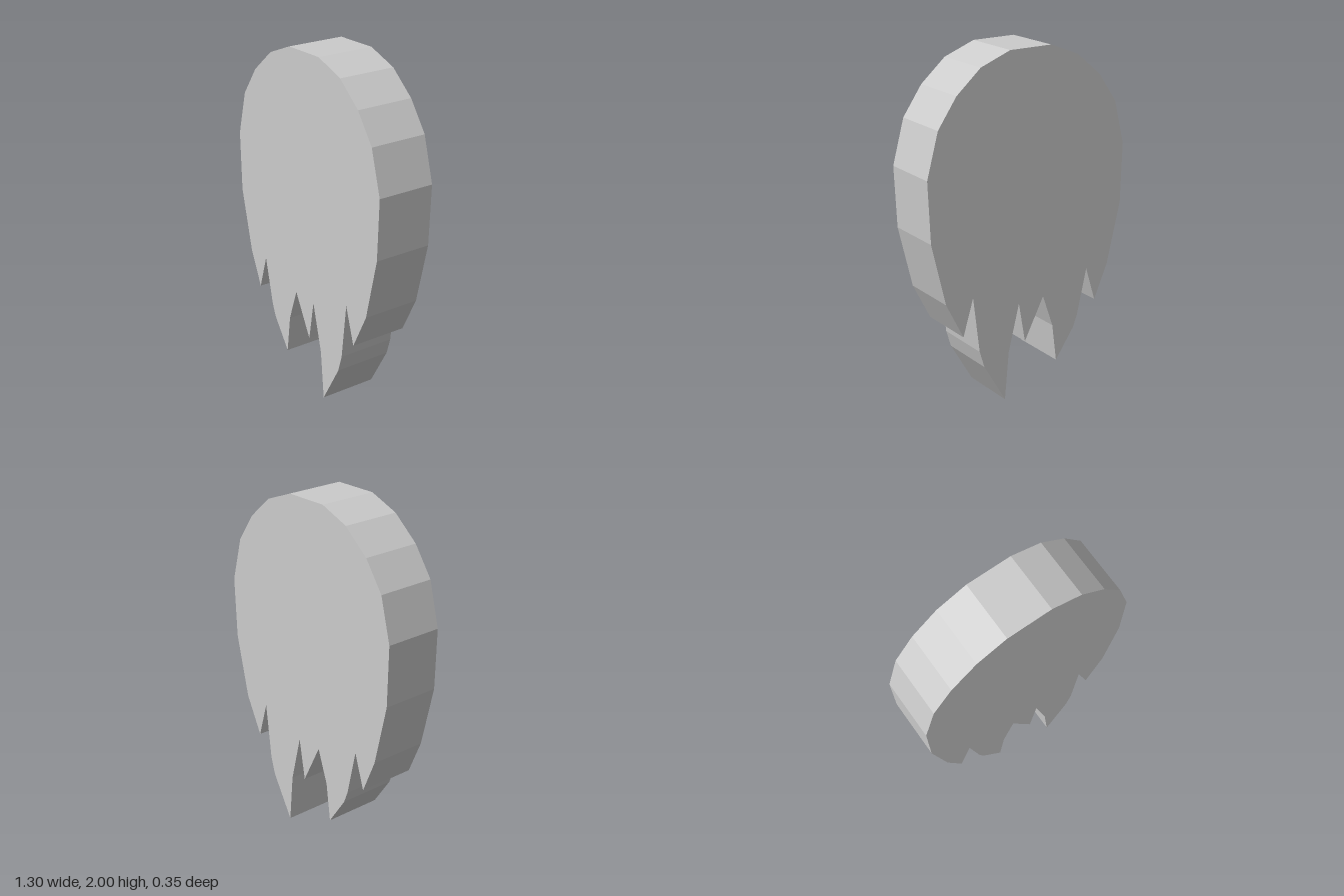
import * as THREE from 'three';

const DEPTH = 0.346;

// Rounded crown, clockwise from the lower left side to the lower right side
const crown = [
  [-0.555, 0.67], [-0.64, 1.03], [-0.65, 1.38], [-0.585, 1.635], [-0.47, 1.8], [-0.315, 1.93], [-0.135, 2],
  [0.13, 2], [0.315, 1.93], [0.465, 1.8], [0.58, 1.635], [0.65, 1.38], [0.635, 1.03], [0.55, 0.67],
];

// Ragged lower edge, from right to left: tips and notches
const fringe = [
  [0.442, 0.455], [0.377, 0.67], [0.337, 0.34], [0.307, 0.24], [0.168, 0],
  [0.142, 0.285], [0.072, 0.565], [0.03, 0.325], [-0.095, 0.57], [-0.163, 0.375],
  [-0.192, 0.15], [-0.313, 0.325], [-0.34, 0.395], [-0.403, 0.67], [-0.467, 0.465],
];

export function createModel() {
  const group = new THREE.Group();
  group.name = 'raggedPlate';

  // Single flat-sided slab cut to the outline
  const outline = new THREE.Shape([...crown, ...fringe].map(([x, y]) => new THREE.Vector2(x, y)));
  const geometry = new THREE.ExtrudeGeometry(outline, { depth: DEPTH, bevelEnabled: false });
  geometry.translate(0, 0, -DEPTH / 2);

  const material = new THREE.MeshStandardMaterial({ color: 0xcccccc, flatShading: true });
  const plate = new THREE.Mesh(geometry, material);
  plate.name = 'fringedPlate';
  group.add(plate);
  return group;
}
